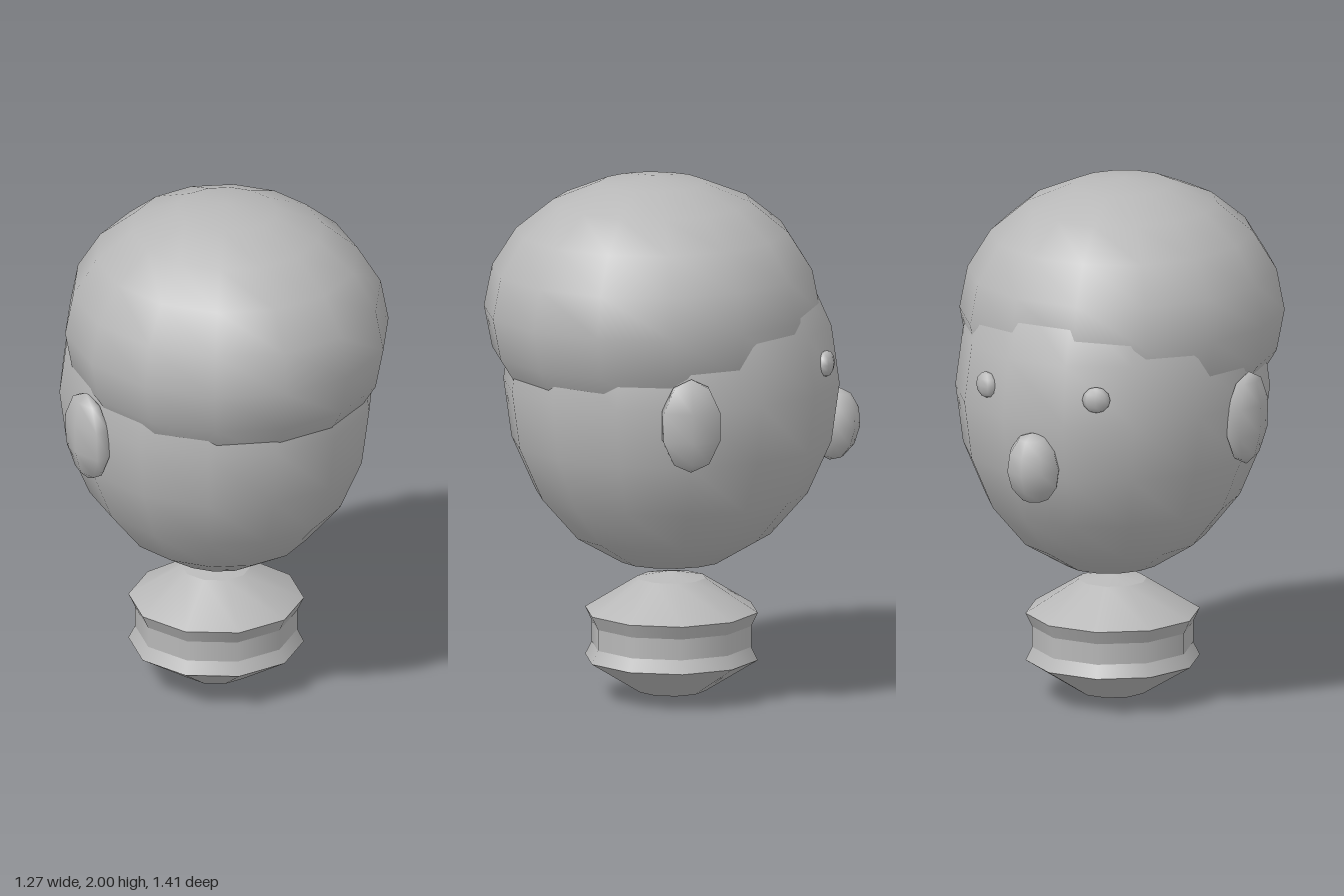
import * as THREE from 'three';
import { mergeGeometries } from 'three/addons/utils/BufferGeometryUtils.js';

export function createModel() {
  const group = new THREE.Group();
  const clay = new THREE.MeshStandardMaterial({ color: 0xb8b8b8 });
  clay.name = 'grey clay';

  // Coarse, smooth-shaded ellipsoid
  function ellipsoid(name, [rx, ry, rz], [x, y, z], segments, rings) {
    const geometry = new THREE.SphereGeometry(1, segments, rings);
    geometry.scale(rx, ry, rz);
    const mesh = new THREE.Mesh(geometry, clay);
    mesh.name = name;
    mesh.position.set(x, y, z);
    group.add(mesh);
    return mesh;
  }

  // Skull, and the hair cap set higher and further back
  ellipsoid('head', [0.58, 0.72, 0.636], [0, 1.21, 0.01], 14, 10);
  ellipsoid('hair', [0.605, 0.51, 0.636], [0, 1.49, 0.083], 14, 10);

  // Nose, leaning slightly out at the top
  const nose = ellipsoid('nose', [0.106, 0.14, 0.1], [0, 1.03, -0.605], 8, 6);
  nose.rotation.x = -0.12;

  // Ears and eyes on both sides
  for (const [side, s] of [['left', 1], ['right', -1]]) {
    const ear = ellipsoid(side + 'Ear', [0.058, 0.18, 0.13], [s * 0.578, 1.156, 0.01], 6, 5);
    ear.rotation.z = s * -0.03;
    const eye = ellipsoid(side + 'Eye', [0.053, 0.05, 0.03], [s * 0.235, 1.31, -0.546], 8, 6);
    eye.rotation.y = s * -0.45;
  }

  // Neck: ten-sided bands with hard edges between them
  const profile = [
    [0, 0.005], [0.13, 0.03], [0.33, 0.155], [0.305, 0.205],
    [0.305, 0.285], [0.33, 0.337], [0.13, 0.462], [0, 0.487],
  ].map(([r, y]) => new THREE.Vector2(r, y));
  const bands = [];
  for (let i = 0; i < profile.length - 1; i++) {
    bands.push(new THREE.LatheGeometry([profile[i], profile[i + 1]], 10, Math.PI / 2));
  }
  const neck = new THREE.Mesh(mergeGeometries(bands), clay);
  neck.name = 'neck';
  neck.position.set(0, -0.005, 0.01);
  group.add(neck);

  return group;
}
